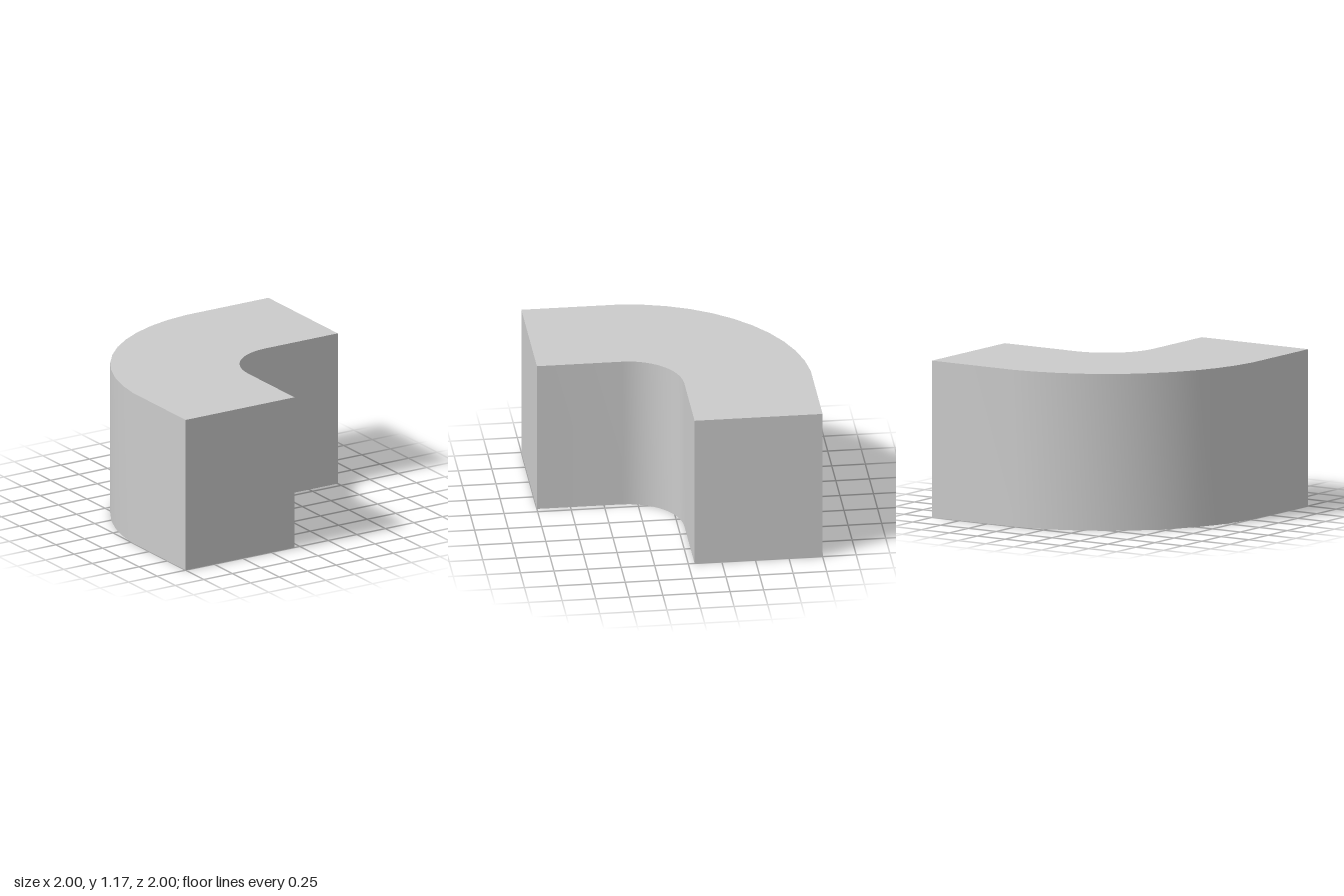
import * as THREE from 'three';
import { toCreasedNormals } from 'three/addons/utils/BufferGeometryUtils.js';

const HEIGHT = 1.175;
const CENTER = 0.366;      // shared centre of both bends, in x and z
const OUTER = 1 + CENTER;  // distance from the centre to the outer walls
const INNER = 0.413;       // radius of the inner bend
const STEPS = 12;

// Point of the plan at an angle from the back (0) to the right side (90 degrees).
function bendPoint(radius, angle) {
  return new THREE.Vector2(CENTER - radius * Math.sin(angle), -CENTER + radius * Math.cos(angle));
}

export function createModel() {
  const group = new THREE.Group();
  group.name = 'curvedCorner';

  const step = Math.PI / 2 / STEPS;
  const inside = INNER - CENTER; // offset of the inner walls
  const points = [new THREE.Vector2(1, inside), new THREE.Vector2(1, 1)];

  // Outer bend: facets touch the bend circle, so the end facets merge with the straight walls
  const facetRadius = OUTER / Math.cos(step / 2);
  for (let i = 0; i < STEPS; i++) points.push(bendPoint(facetRadius, (i + 0.5) * step));

  // Front end, then the inner bend back to the start
  points.push(new THREE.Vector2(-1, -1), new THREE.Vector2(-inside, -1));
  for (let i = STEPS; i >= 0; i--) points.push(bendPoint(INNER, i * step));

  const solid = new THREE.ExtrudeGeometry(new THREE.Shape(points), { depth: HEIGHT, bevelEnabled: false });
  solid.rotateX(-Math.PI / 2);

  const block = new THREE.Mesh(
    toCreasedNormals(solid, Math.PI / 6),
    new THREE.MeshStandardMaterial({ color: 0xcccccc })
  );
  block.name = 'cornerBlock';
  group.add(block);
  return group;
}
